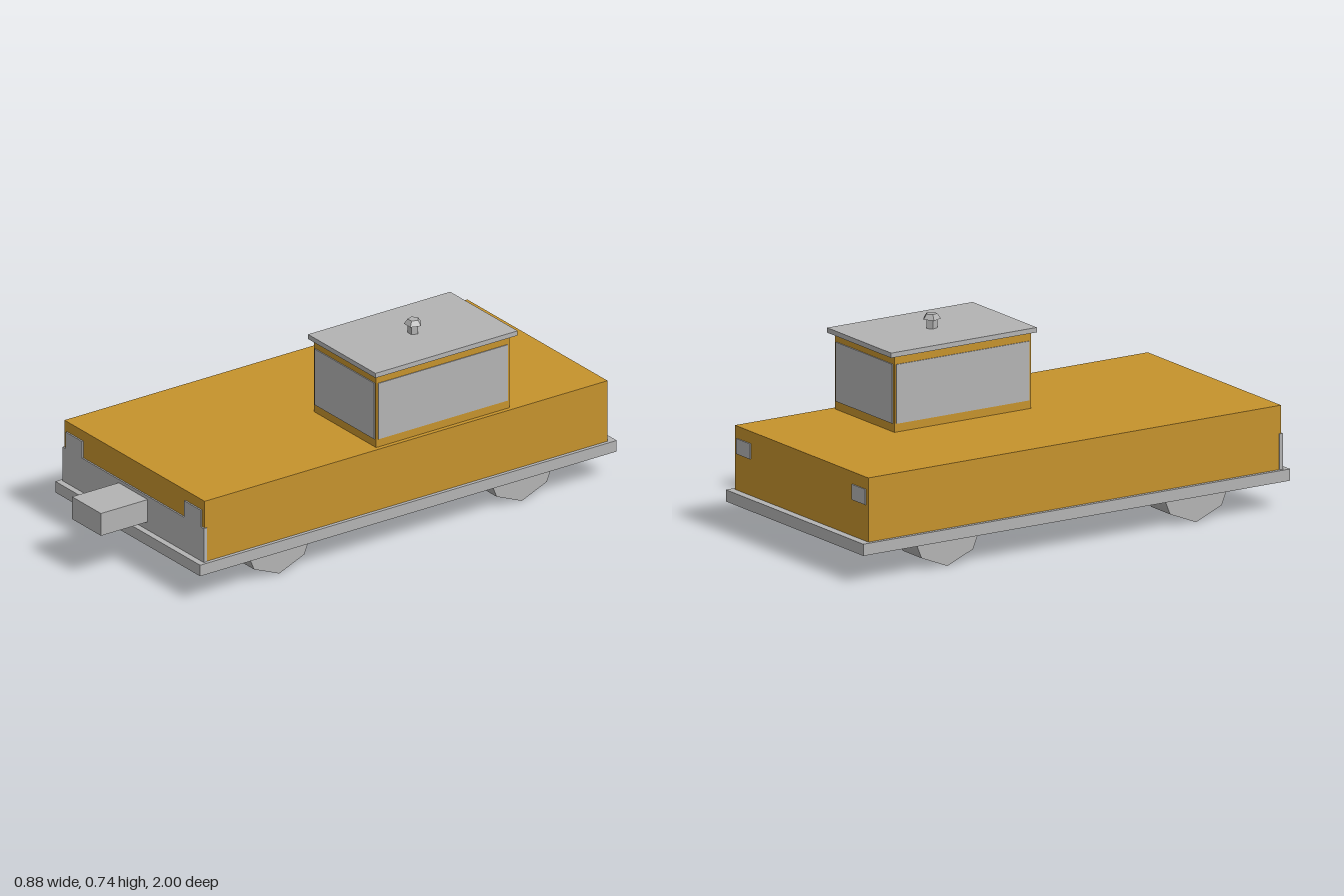
import * as THREE from 'three';

export function createModel() {
  const model = new THREE.Group();
  model.name = 'flatUtilityVehicle';
  const grey = new THREE.MeshStandardMaterial({ color: 0xb3b3b3 });
  grey.name = 'light grey';
  const ochre = new THREE.MeshStandardMaterial({ color: 0xc5922c });
  ochre.name = 'ochre yellow';

  const add = (name, geometry, material, x, y, z) => {
    const mesh = new THREE.Mesh(geometry, material);
    mesh.name = name;
    mesh.position.set(x, y, z);
    model.add(mesh);
    return mesh;
  };
  // Box given by its limits on each axis
  const box = (name, material, [x0, x1], [y0, y1], [z0, z1]) =>
    add(name, new THREE.BoxGeometry(x1 - x0, y1 - y0, z1 - z0), material,
      (x0 + x1) / 2, (y0 + y1) / 2, (z0 + z1) / 2);

  // Chassis and body
  box('chassis', grey, [-0.44, 0.44], [0.105, 0.148], [-1, 0.82]);
  box('body', ochre, [-0.426, 0.426], [0.148, 0.384], [-0.97, 0.79]);
  box('frontPanel', grey, [-0.429, 0.429], [0.148, 0.28], [0.782, 0.796]);
  box('frontHitch', grey, [-0.088, 0.088], [0.18, 0.267], [0.79, 1]);

  // Lamps and wheels, mirrored left and right
  for (const [side, s] of [['left', 1], ['right', -1]]) {
    const span = (a, b) => (s > 0 ? [a, b] : [-b, -a]);
    box(side + 'Headlight', grey, span(0.31, 0.411), [0.28, 0.345], [0.788, 0.796]);
    box(side + 'RearLamp', grey, span(0.325, 0.412), [0.282, 0.339], [-0.974, -0.968]);
    for (const [end, z] of [['Front', 0.445], ['Rear', -0.615]]) {
      const wheel = new THREE.CylinderGeometry(0.155, 0.155, 0.122, 8);
      wheel.rotateZ(Math.PI / 2);
      add(side + end + 'Wheel', wheel, grey, s * 0.338, 0.155, z);
    }
  }

  // Offset cab with a thin pane on each side
  box('cab', ochre, [0.031, 0.409], [0.384, 0.665], [-0.554, 0.029]);
  const paneY = [0.415, 0.633];
  box('frontWindow', grey, [0.039, 0.401], paneY, [0.027, 0.033]);
  box('rearWindow', grey, [0.039, 0.401], paneY, [-0.558, -0.552]);
  box('leftWindow', grey, [0.407, 0.412], paneY, [-0.546, 0.021]);
  box('rightWindow', grey, [0.028, 0.033], paneY, [-0.546, 0.021]);
  box('cabRoof', grey, [0.015, 0.425], [0.665, 0.683], [-0.578, 0.043]);

  // Five-sided roof vent
  const vent = (name, top, bottom, height, y) => {
    const g = new THREE.CylinderGeometry(top, bottom, height, 5).toNonIndexed();
    g.rotateY(Math.PI);
    g.computeVertexNormals();
    add(name, g, grey, 0.22, y, -0.27);
  };
  vent('ventStem', 0.021, 0.021, 0.036, 0.7);
  vent('ventCap', 0.021, 0.034, 0.019, 0.7265);

  return model;
}
